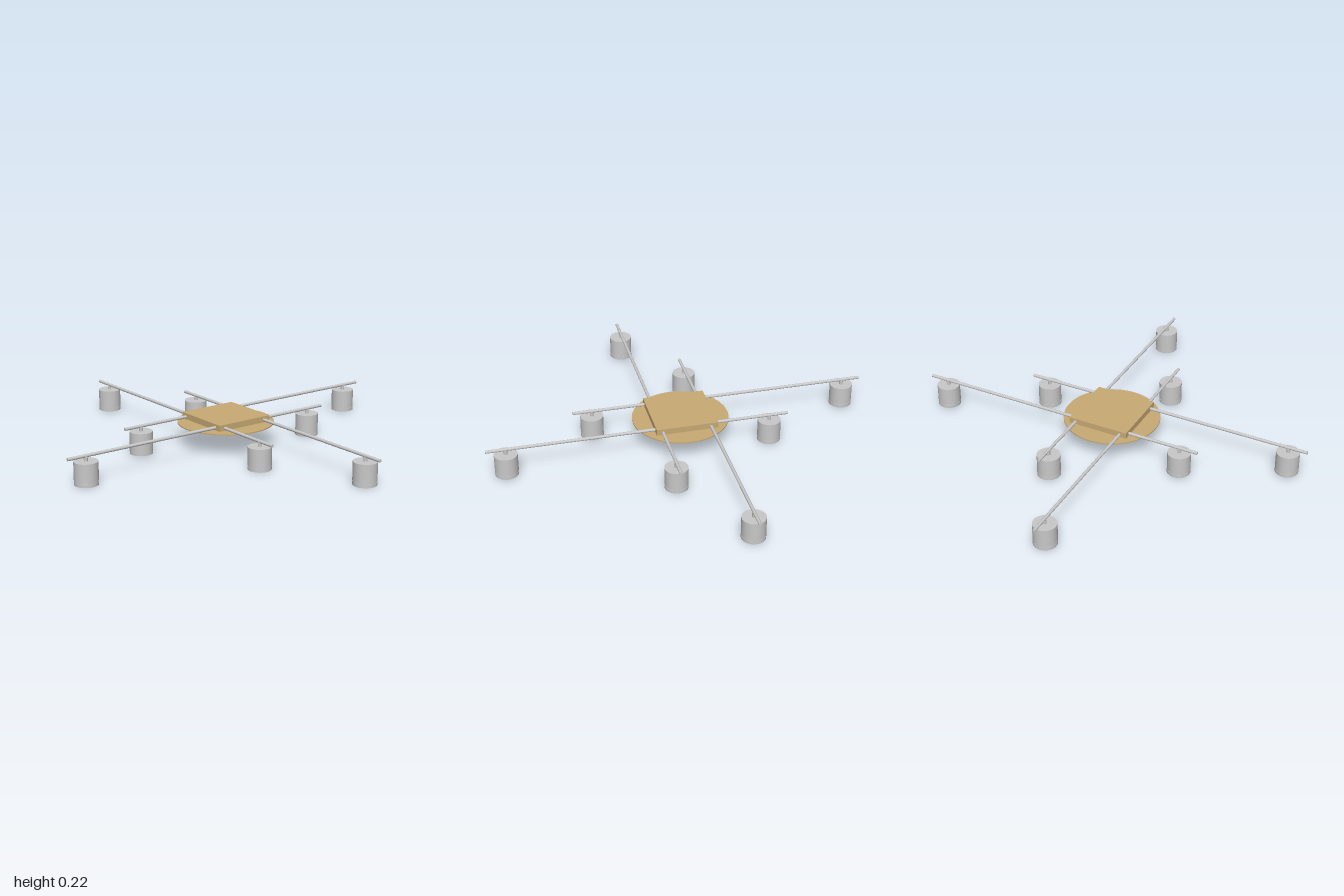
import * as THREE from 'three';

export function createModel() {
  const model = new THREE.Group();
  model.name = 'ceilingLight';
  const brass = new THREE.MeshStandardMaterial({ color: 0xc8aa74 });
  brass.name = 'warm brass';
  const steel = new THREE.MeshStandardMaterial({ color: 0xc8c8c8 });
  steel.name = 'brushed steel';

  const add = (parent, name, geometry, material, x = 0, y = 0, z = 0) => {
    const mesh = new THREE.Mesh(geometry, material);
    mesh.name = name;
    mesh.position.set(x, y, z);
    parent.add(mesh);
    return mesh;
  };
  // Upright cylinder given by its bottom and top heights
  const drum = (parent, name, r, y0, y1, material, segments = 40) =>
    add(parent, name, new THREE.CylinderGeometry(r, r, y1 - y0, segments), material, 0, (y0 + y1) / 2, 0);

  const rodY = 0.192;
  const rodRadius = 0.011;

  // Lamp can with a shallow groove above its rim, hung on a short stem
  function addLamp(parent, x, z) {
    const lamp = new THREE.Group();
    lamp.name = 'lamp';
    lamp.position.set(x, 0, z);
    drum(lamp, 'lampRim', 0.081, 0, 0.023, steel);
    drum(lamp, 'lampGroove', 0.079, 0.023, 0.028, steel);
    drum(lamp, 'lampBody', 0.081, 0.028, 0.157, steel);
    drum(lamp, 'lampStem', 0.013, 0.157, rodY, steel, 16);
    parent.add(lamp);
  }

  // Rod running from the housing out to its tip along local -x
  function addArm(parent, name, tip, lampX, z) {
    const inner = -0.2;
    const rod = new THREE.CylinderGeometry(rodRadius, rodRadius, inner - tip, 16).rotateZ(Math.PI / 2);
    add(parent, name, rod, steel, (tip + inner) / 2, rodY, z);
    addLamp(parent, lampX, z);
  }

  // Round plate, spacer and square housing
  drum(model, 'roundPlate', 0.34, 0.158, 0.166, brass, 72);
  drum(model, 'spacer', 0.15, 0.166, 0.175, brass);

  const frame = new THREE.Group();
  frame.name = 'armFrame';
  frame.rotation.y = -0.904;
  model.add(frame);
  add(frame, 'squareHousing', new THREE.BoxGeometry(0.438, 0.043, 0.438), brass, 0, 0.1955, 0);

  // One long and one short arm on each of the four sides
  for (let i = 0; i < 4; i++) {
    const side = new THREE.Group();
    side.name = 'armPair';
    side.rotation.y = i * Math.PI / 2;
    addArm(side, 'longArm', -1.39, -1.254, 0.168);
    addArm(side, 'shortArm', -0.733, -0.6, -0.174);
    frame.add(side);
  }
  return model;
}
